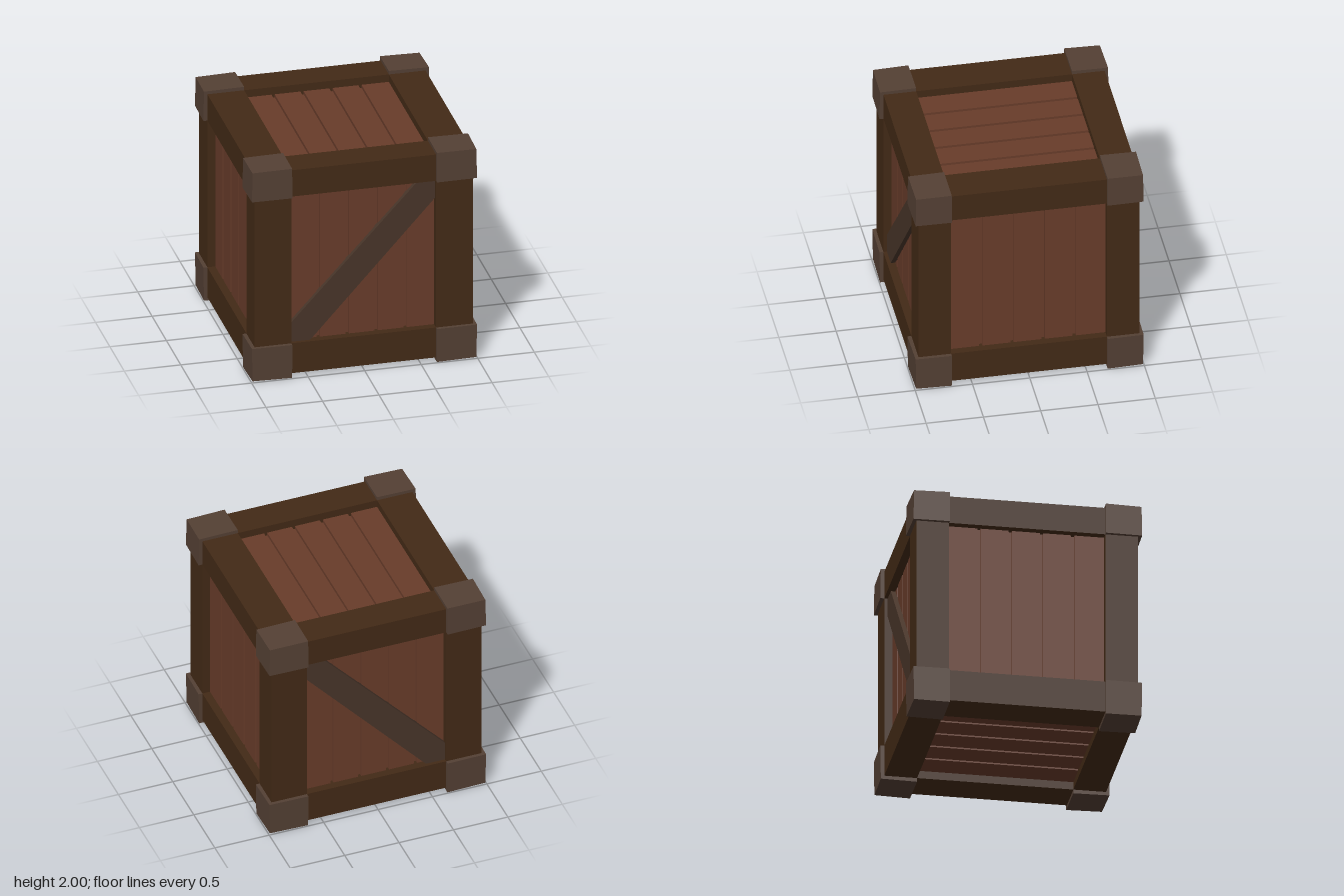
import * as THREE from 'three';

const paint = (color) => new THREE.MeshStandardMaterial({ color, flatShading: true });

// Opening edges of the frame and its outer faces
const IX = 0.64, IZ = 0.68, OUT = 0.965;
const Y0 = 0.04, Y1 = 0.324, Y2 = 1.717, Y3 = 1.967;
const MID = (Y1 + Y2) / 2;
const RECESS = 0.07, GROOVE = 0.03, GAP = 0.029;

export function createModel() {
  const root = new THREE.Group();
  root.name = 'woodenCrate';
  const frameMat = paint(0x432a16), plankMat = paint(0x683c2a);
  const braceMat = paint(0x483529), capMat = paint(0x544034);

  // Box given by its minimum and maximum corners
  function box(name, mat, x0, x1, y0, y1, z0, z1, parent = root) {
    const mesh = new THREE.Mesh(new THREE.BoxGeometry(x1 - x0, y1 - y0, z1 - z0), mat);
    mesh.position.set((x0 + x1) / 2, (y0 + y1) / 2, (z0 + z1) / 2);
    mesh.name = name;
    parent.add(mesh);
    return mesh;
  }
  // Orders a mirrored pair of limits
  const span = (s, a, b) => (s > 0 ? [a, b] : [-b, -a]);

  // Corner cap: a block whose outer faces slope in slightly towards the outermost corner
  function cornerCap(sx, top, sz) {
    const inner = [IX, top ? Y2 : Y1, IZ];
    const outer = [1, top ? 2 : 0.005, 1];
    const sign = [sx, 1, sz];
    const into = [-1, top ? -1 : 1, -1];
    const facing = [sx, top ? 1 : -1, sz];
    const geo = new THREE.BoxGeometry(2, 2, 2);
    const p = geo.attributes.position;
    for (let i = 0; i < p.count; i++) {
      const v = [p.getX(i), p.getY(i), p.getZ(i)];
      const isOuter = v.map((c, k) => c * facing[k] > 0);
      const count = isOuter.filter(Boolean).length;
      const q = v.map((c, k) =>
        sign[k] * (isOuter[k] ? outer[k] + into[k] * 0.005 * (count - 1) : inner[k]));
      p.setXYZ(i, ...q);
    }
    geo.computeVertexNormals();
    const cap = new THREE.Mesh(geo, capMat);
    cap.name = 'cornerCap';
    root.add(cap);
  }

  // Frame: posts, rails and corner caps
  const e = 0.05; // ends tucked into the caps
  for (const sx of [1, -1]) {
    for (const sz of [1, -1]) {
      box('cornerPost', frameMat, ...span(sx, IX, OUT), Y1 - e, Y2 + e, ...span(sz, IZ, OUT));
      cornerCap(sx, true, sz);
      cornerCap(sx, false, sz);
    }
  }
  for (const [a, b] of [[Y0, Y1], [Y2, Y3]]) {
    for (const s of [1, -1]) {
      box('crossRail', frameMat, -IX - e, IX + e, a, b, ...span(s, IZ, OUT));
      box('sideRail', frameMat, ...span(s, IX, OUT), a, b, -IZ - e, IZ + e);
    }
  }

  // Panel of five planks with grooves, facing local +z, planks along local y
  function panel(name, halfW, halfH, step, position, rotation) {
    const g = new THREE.Group();
    g.name = name;
    box('panelBacking', plankMat, -halfW, halfW, -halfH, halfH, -GROOVE - 0.03, -GROOVE, g);
    for (let i = -2; i <= 2; i++) {
      const x0 = i === -2 ? -halfW : (i - 0.5) * step + GAP / 2;
      const x1 = i === 2 ? halfW : (i + 0.5) * step - GAP / 2;
      box('plank', plankMat, x0, x1, -halfH, halfH, -GROOVE, 0, g);
    }
    g.position.set(...position);
    g.rotation.set(...rotation);
    root.add(g);
  }
  const d = OUT - RECESS, h = (Y2 - Y1) / 2 + 0.02, w = IX + 0.02, l = IZ + 0.02, q = Math.PI / 2;
  panel('frontPanel', w, h, 0.256, [0, MID, d], [0, 0, 0]);
  panel('backPanel', w, h, 0.256, [0, MID, -d], [0, 2 * q, 0]);
  panel('leftPanel', l, h, 0.272, [d, MID, 0], [0, q, 0]);
  panel('rightPanel', l, h, 0.272, [-d, MID, 0], [0, -q, 0]);
  panel('topPanel', w, l, 0.256, [0, Y3 - RECESS, 0], [-q, 0, 0]);
  panel('bottomPanel', w, l, 0.256, [0, Y0 + RECESS, 0], [q, 0, 0]);

  // Diagonal braces across the front and back, cut to the frame opening
  const outline = [[-IX, Y1], [-0.465, Y1], [IX, 1.545], [IX, Y2], [0.485, Y2], [-IX, 0.5]];
  const shape = new THREE.Shape(outline.map(([x, y]) => new THREE.Vector2(x, y)));
  const braceGeo = new THREE.ExtrudeGeometry(shape, { depth: 0.05, bevelEnabled: false });
  for (const [name, z] of [['frontBrace', d - 0.01], ['backBrace', -d - 0.04]]) {
    const brace = new THREE.Mesh(braceGeo, braceMat);
    brace.name = name;
    brace.position.z = z;
    root.add(brace);
  }
  return root;
}
